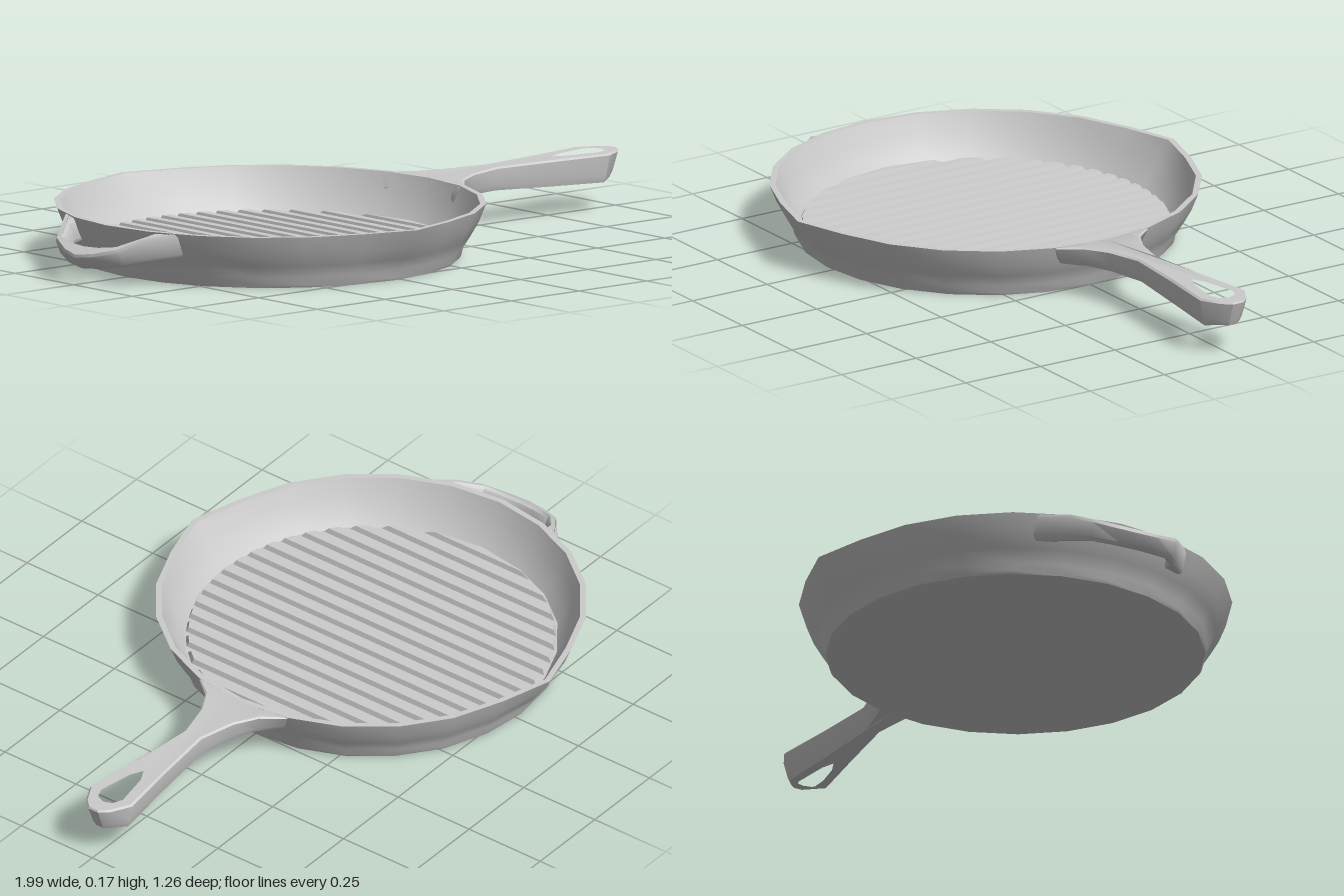
import * as THREE from 'three';
import { toCreasedNormals } from 'three/addons/utils/BufferGeometryUtils.js';

const PAN_X = -0.275;
const material = new THREE.MeshStandardMaterial({ color: 0xcccccc });

// Applies rule(v) to every vertex of a geometry.
function reshape(geometry, rule) {
  const pos = geometry.attributes.position;
  const v = new THREE.Vector3();
  for (let i = 0; i < pos.count; i++) {
    rule(v.fromBufferAttribute(pos, i));
    pos.setXYZ(i, v.x, v.y, v.z);
  }
  return geometry;
}

function makeMesh(name, geometry, crease = 0.6) {
  const mesh = new THREE.Mesh(toCreasedNormals(geometry, crease), material);
  mesh.name = name;
  return mesh;
}

// Piecewise linear lookup through [x, value] pairs.
function along(table, x) {
  if (x <= table[0][0]) return table[0][1];
  for (let i = 1; i < table.length; i++) {
    const [x0, a] = table[i - 1], [x1, b] = table[i];
    if (x <= x1) return a + (b - a) * (x - x0) / (x1 - x0);
  }
  return table[table.length - 1][1];
}

// Closes a half outline (z >= 0) by mirroring it across the x axis.
function mirrored(half) {
  const back = half.filter(p => p[1] > 0).reverse().map(([x, z]) => [x, -z]);
  return [...half, ...back].map(([x, z]) => new THREE.Vector2(x, z));
}

// Plan outline as a slab with y running from 0 (underside) to 1 (top), edges bevelled.
function slab(outline, hole, bevel) {
  const shape = new THREE.Shape(outline);
  if (hole) shape.holes.push(new THREE.Path(hole));
  return new THREE.ExtrudeGeometry(shape, {
    depth: 0.7, bevelEnabled: true, bevelSegments: 1,
    bevelThickness: 0.15, bevelSize: bevel, bevelOffset: -bevel,
  }).translate(0, 0, 0.15).rotateX(-Math.PI / 2);
}

// Dish with two pouring lips pulled out at the front and back
function makeDish() {
  const profile = [
    [0, 0], [0.53, 0], [0.535, 0.008], [0.54, 0.03], [0.562, 0.065], [0.585, 0.105],
    [0.605, 0.155], [0.588, 0.155], [0.568, 0.105], [0.545, 0.06], [0.524, 0.03], [0, 0.03],
  ].map(([r, y]) => new THREE.Vector2(r, y));
  const geometry = reshape(new THREE.LatheGeometry(profile, 24), v => {
    if (Math.abs(v.x) < 0.01 && Math.abs(v.z) > 0.5)
      v.z += Math.sign(v.z) * 0.025 * Math.max(0, v.y - 0.03) / 0.125;
  });
  const dish = makeMesh('dish', geometry);
  dish.position.x = PAN_X;
  return dish;
}

// Raised grill bars, their ends cut to the round floor
function makeRidges() {
  const group = new THREE.Group();
  group.name = 'grillRidges';
  for (let i = -9; i <= 9; i++) {
    const x = i * 0.0555;
    const geometry = reshape(new THREE.BoxGeometry(0.036, 0.02, 2), v => {
      const top = v.y > 0;
      v.x = x + v.x * (top ? 0.7 : 1);
      v.z = Math.sign(v.z) * Math.sqrt(Math.max(0, (top ? 0.51 : 0.518) ** 2 - v.x ** 2));
      v.y = top ? 0.044 : 0.028;
    });
    const ridge = makeMesh('grillRidge', geometry);
    ridge.position.x = PAN_X;
    group.add(ridge);
  }
  return group;
}

// Long handle with a flared root and a hanging hole
function makeHandle() {
  const outline = mirrored([
    [0.312, 0], [0.308, 0.085], [0.287, 0.175], [0.315, 0.155], [0.36, 0.098], [0.43, 0.06],
    [0.54, 0.032], [0.73, 0.052], [0.915, 0.076], [0.975, 0.045], [1, 0.018],
  ]);
  const hole = mirrored([[0.755, 0], [0.8, 0.026], [0.91, 0.046], [0.945, 0.032], [0.958, 0]]);
  const top = [[0.3, 0.153], [0.38, 0.16], [0.5, 0.163], [1, 0.166]];
  const bottom = [[0.3, 0.1], [0.55, 0.096], [0.9, 0.08], [0.97, 0.09]];
  const geometry = reshape(slab(outline, hole, 0.007), v => {
    const down = 1 - v.y;
    const low = along(bottom, v.x), high = along(top, v.x);
    // the top bevel is kept thin
    const t = v.y > 0.8 && v.y < 0.95 ? 0.93 : v.y < 0.2 && v.y > 0.05 ? 0.25 : v.y;
    v.y = low + (high - low) * t;
    v.z *= 1 - 0.18 * down;
    v.x -= down * along([[0.28, 0.018], [0.34, 0], [0.9, 0], [1, 0.028]], v.x);
  });
  return makeMesh('handle', geometry);
}

// Small drooping loop handle opposite the long one
function makeLoop() {
  const arc = (r, deg) => {
    const a = THREE.MathUtils.degToRad(deg);
    return [PAN_X - r * Math.cos(a), r * Math.sin(a)];
  };
  const half = [
    [-1, 0], [-0.987, 0.06], [-0.955, 0.132], [-0.9, 0.175], arc(0.6, 23.5), arc(0.586, 22.5),
    arc(0.586, 17), [-0.875, 0.165], [-0.94, 0.112], [-0.953, 0.055], [-0.957, 0],
  ];
  // open band: the far side runs back along the same path
  const inner = half.slice(5), outer = half.slice(0, 5);
  const flip = list => list.filter(p => p[1] > 0).reverse().map(([x, z]) => [x, -z]);
  const outline = [...outer, ...inner, ...flip(inner), ...flip(outer)]
    .map(([x, z]) => new THREE.Vector2(x, z));
  const top = [[-1, 0.082], [-0.92, 0.13], [-0.86, 0.15], [-0.82, 0.154]];
  const bottom = [[-1, 0.042], [-0.95, 0.058], [-0.85, 0.085]];
  const geometry = reshape(slab(outline, null, 0.005), v => {
    const low = along(bottom, v.x), high = along(top, v.x);
    v.x += 0.025 * (1 - v.y);
    v.y = low + (high - low) * v.y;
  });
  return makeMesh('loopHandle', geometry);
}

export function createModel() {
  const model = new THREE.Group();
  model.name = 'grillPan';
  model.add(makeDish(), makeRidges(), makeHandle(), makeLoop());
  return model;
}
